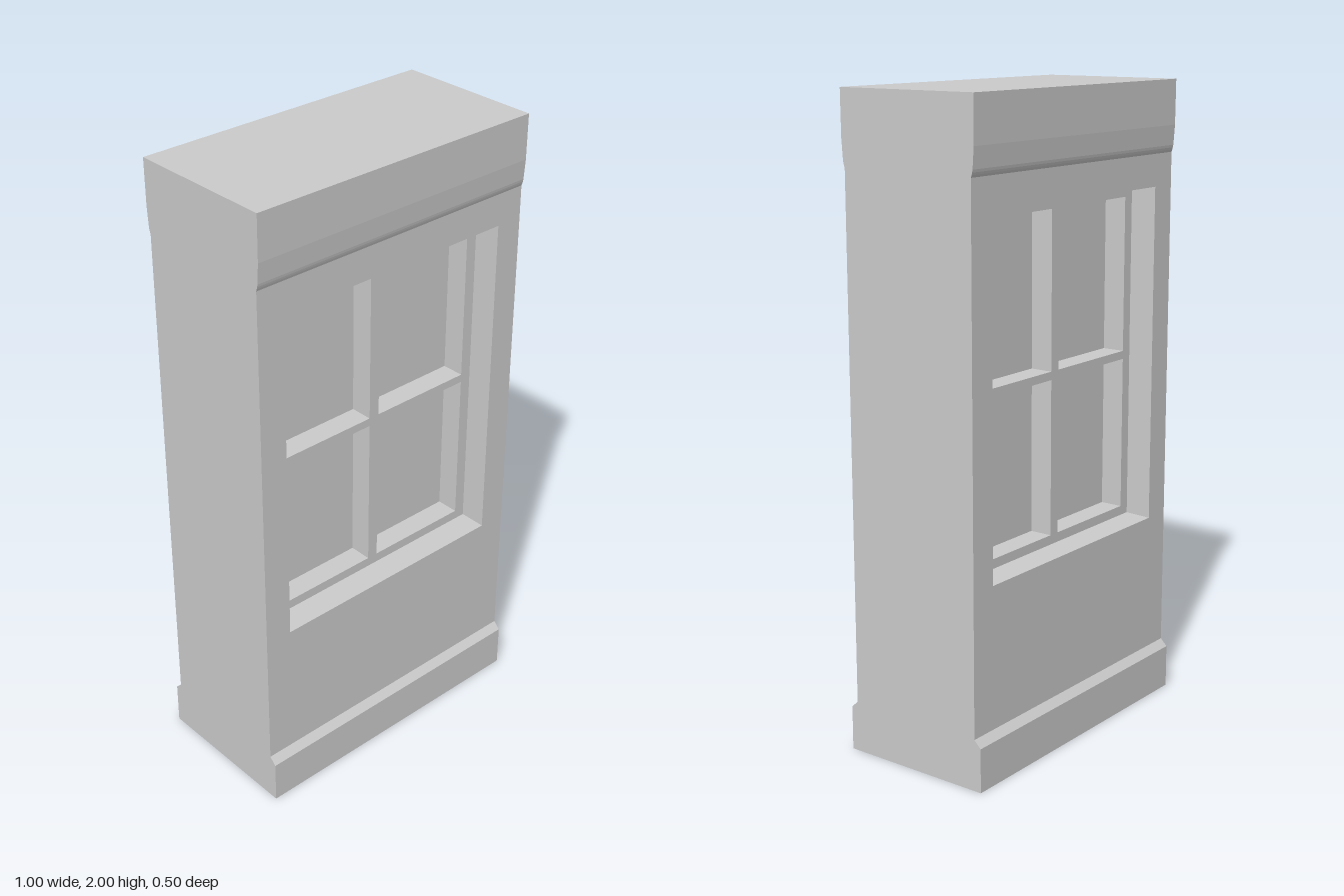
import * as THREE from 'three';

const W = 0.5;                       // half width of the wall
const T = 0.2275;                    // half thickness of the wall
const WIN = { x: 0.41, y0: 0.605, y1: 1.675 };

const material = new THREE.MeshStandardMaterial({ color: 0xcccccc, flatShading: true });

function add(parent, name, geometry) {
  const mesh = new THREE.Mesh(geometry, material);
  mesh.name = name;
  parent.add(mesh);
  return mesh;
}

function rect(target, x0, y0, x1, y1) {
  target.moveTo(x0, y0).lineTo(x1, y0).lineTo(x1, y1).lineTo(x0, y1).closePath();
  return target;
}

// Moulding that runs the full width: [z, y] points of the front edge, mirrored to the back
function moulding(points) {
  const outline = [
    ...points.map(([z, y]) => new THREE.Vector2(z, y)),
    ...points.slice().reverse().map(([z, y]) => new THREE.Vector2(-z, y)),
  ];
  const g = new THREE.ExtrudeGeometry(new THREE.Shape(outline), { depth: 2 * W, bevelEnabled: false });
  return g.translate(0, 0, -W).rotateY(Math.PI / 2);
}

// Wall slab with an opening whose sides draw in slightly toward the middle
function wallGeometry(y0, y1) {
  const shape = rect(new THREE.Shape(), -W, y0, W, y1);
  shape.holes.push(rect(new THREE.Path(), -WIN.x, WIN.y0, WIN.x, WIN.y1));
  const g = new THREE.ExtrudeGeometry(shape, { depth: 2 * T, steps: 2, bevelEnabled: false });
  g.translate(0, 0, -T);
  const p = g.attributes.position;
  const midY = (WIN.y0 + WIN.y1) / 2;
  for (let i = 0; i < p.count; i++) {
    const x = p.getX(i), y = p.getY(i);
    if (Math.abs(x) > W - 0.01 || Math.abs(p.getZ(i)) > 0.01) continue;
    p.setXY(i, x - Math.sign(x) * 0.014, y - Math.sign(y - midY) * 0.014);
  }
  g.computeVertexNormals();
  return g;
}

// Window frame with four panes' openings
function sashGeometry(z) {
  const shape = rect(new THREE.Shape(), -WIN.x, WIN.y0, WIN.x, WIN.y1);
  for (const [x0, x1] of [[-0.368, -0.018], [0.018, 0.368]]) {
    for (const [y0, y1] of [[0.64, 1.128], [1.154, 1.642]]) {
      shape.holes.push(rect(new THREE.Path(), x0, y0, x1, y1));
    }
  }
  const g = new THREE.ExtrudeGeometry(shape, { depth: 2 * z, bevelEnabled: false });
  return g.translate(0, 0, -z);
}

export function createModel() {
  const model = new THREE.Group();
  model.name = 'windowWall';

  add(model, 'baseboard', moulding([[0.25, 0], [0.25, 0.138], [T, 0.161]]));
  add(model, 'wall', wallGeometry(0.161, 1.776));
  add(model, 'cornice', moulding([
    [T, 1.776], [0.23, 1.783], [0.232, 1.79], [0.2335, 1.798], [0.238, 1.86], [0.239, 2],
  ]));

  // Window, the same on both faces
  const win = new THREE.Group();
  win.name = 'window';
  model.add(win);
  add(win, 'windowFrame', sashGeometry(0.145));
  const panes = new THREE.BoxGeometry(2 * WIN.x - 0.04, WIN.y1 - WIN.y0 - 0.04, 0.144);
  add(win, 'panes', panes).position.y = (WIN.y0 + WIN.y1) / 2;

  return model;
}
